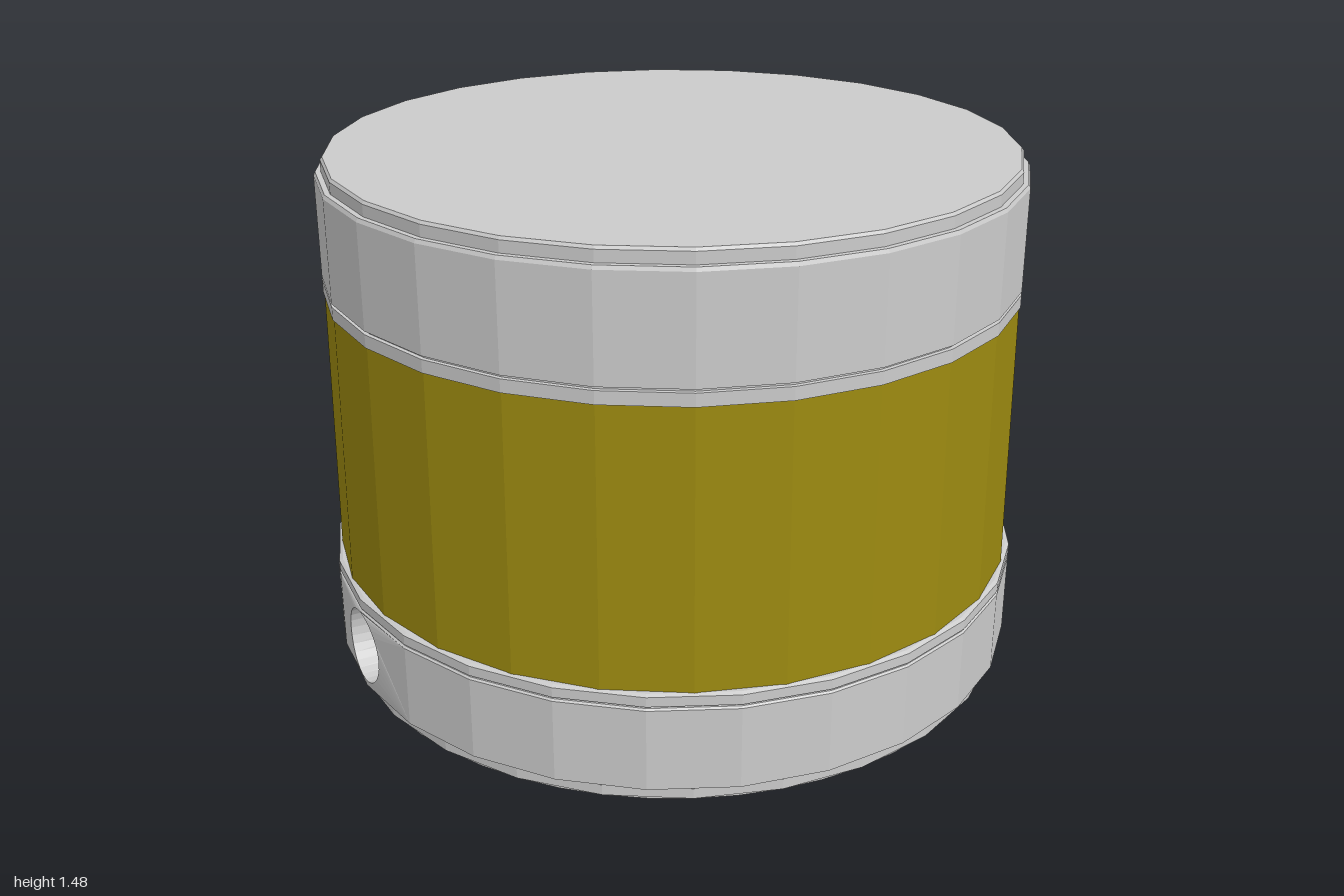
import * as THREE from 'three';

const SIDES = 26, STEP = (Math.PI * 2) / SIDES;
const grey = new THREE.MeshStandardMaterial({ color: 0xcccccc, flatShading: true });
const yellow = new THREE.MeshStandardMaterial({ color: 0x9c8a10, flatShading: true });

export function createModel() {
  const root = new THREE.Group();

  function add(name, geometry, material = grey, parent = root) {
    const mesh = new THREE.Mesh(geometry, material);
    mesh.name = name;
    parent.add(mesh);
    return mesh;
  }
  // Faceted ring from a bottom-to-top profile of [radius, height]
  function ring(name, profile, { start = Math.PI / 2, count = SIDES, material = grey } = {}) {
    const pts = profile.map(([r, y]) => new THREE.Vector2(r, y));
    return add(name, new THREE.LatheGeometry(pts, count, start, count * STEP), material);
  }
  const circle = (x, y, r) => new THREE.Path().absarc(x, y, r, 0, Math.PI * 2, true);
  const disc = (r) => new THREE.Shape().absarc(0, 0, r, 0, Math.PI * 2, false);
  const extrude = (shape, depth, curveSegments = 14) =>
    new THREE.ExtrudeGeometry(shape, { depth, bevelEnabled: false, curveSegments });

  // Upper body: tapered sleeve, trim ring, collar and cap
  ring('sleeve', [[0.985, 0.32], [0.976, 1.1]], { material: yellow });
  ring('trimRing', [[0.965, 1.1], [0.98, 1.1], [0.98, 1.136], [0.968, 1.136], [0.968, 1.145]]);
  ring('collar', [[0.968, 1.145], [0.98, 1.145], [0.98, 1.43], [0.975, 1.44], [0.955, 1.44]]);
  ring('cap', [[0.96, 1.435], [0.96, 1.472], [0.954, 1.48], [0, 1.48]]);

  // Base: foot, lower ledge, band and upper lip
  ring('foot', [[0.965, 0], [0.978, 0.008], [0.978, 0.038], [0.95, 0.038]]);
  ring('baseLedge', [[0.95, 0.036], [0.95, 0.043], [0.99, 0.043], [1, 0.05]], { start: 0 });
  ring('baseLip', [[1, 0.285], [0.995, 0.29], [0.972, 0.29], [0.972, 0.297], [1, 0.297],
    [1, 0.325], [0.99, 0.33], [0.95, 0.33]], { start: 0 });

  // The band leaves three facets open for the pierced panels
  const side = Math.PI * 1.5;
  ring('baseBand', [[1, 0.05], [1, 0.285]], { start: side + 2.5 * STEP, count: SIDES - 3 });

  // Wall panel with a round hole, bent around the axis
  function panel(name, facets, phi, holeX, holeR, depth) {
    const w = facets * STEP / 2;
    const s = new THREE.Shape();
    s.moveTo(-w, 0.05);
    for (let i = 1; i <= facets; i++) s.lineTo(-w + i * STEP, 0.05);
    for (let i = facets; i >= 0; i--) s.lineTo(-w + i * STEP, 0.285);
    s.holes.push(circle(holeX, 0.172, holeR));
    const g = extrude(s, depth);
    const p = g.attributes.position;
    for (let i = 0; i < p.count; i++) {
      const a = phi + p.getX(i), r = 1 - depth + p.getZ(i);
      p.setXYZ(i, r * Math.sin(a), p.getY(i), r * Math.cos(a));
    }
    g.computeVertexNormals();
    add(name, g);
  }
  panel('screwPanel', 1, side, 0, 0.092, 0.06);
  panel('socketPanel', 2, side + 1.5 * STEP, -0.012, 0.108, 0.25);

  // Group on the base wall, facing outward
  function wallGroup(name, phi, radius) {
    const g = new THREE.Group();
    g.name = name;
    g.position.set(radius * Math.sin(phi), 0.172, radius * Math.cos(phi));
    g.rotation.y = phi;
    root.add(g);
    return g;
  }
  const socket = wallGroup('socket', side + 1.5 * STEP - 0.012, 0.77);
  add('socketFloor', new THREE.CircleGeometry(0.112, 24), grey, socket);

  // Slotted screw head made of two half discs over a backing
  const screw = wallGroup('screw', side, 0.945);
  add('screwBack', new THREE.CircleGeometry(0.095, 24), grey, screw);
  const half = new THREE.Shape().absarc(0, 0, 0.084, -1.47, 1.47, false);
  for (const turn of [0, Math.PI]) {
    add('screwHalf', extrude(half, 0.047), grey, screw).rotation.z = turn;
  }

  // Underside: outer annulus with two holes, shallow recess, central boss
  function under(name, shape, y, depth) {
    const m = add(name, extrude(shape, depth, 26), grey);
    m.rotation.x = Math.PI / 2;
    m.position.y = y + depth;
  }
  const pins = [[0.12, 0.88], [-0.12, -0.88]];
  const outer = disc(0.967);
  outer.holes.push(circle(0, 0, 0.74), ...pins.map(([x, z]) => circle(x, z, 0.042)));
  under('bottomRim', outer, 0, 0.03);
  const recess = disc(0.745);
  recess.holes.push(circle(0, 0, 0.18));
  under('bottomRecess', recess, 0.004, 0.026);
  const boss = disc(0.185);
  boss.holes.push(circle(0, 0, 0.075));
  under('bottomBoss', boss, 0, 0.03);
  const step = disc(0.11);
  step.holes.push(circle(0, 0, 0.052));
  under('mountHoleStep', step, 0.03, 0.08);
  under('innerFloor', disc(0.7), 0.11, 0.01);
  for (const [x, z] of pins) {
    const floor = add('pinHoleFloor', new THREE.CircleGeometry(0.05, 16));
    floor.rotation.x = Math.PI / 2;
    floor.position.set(x, 0.029, z);
  }
  return root;
}
